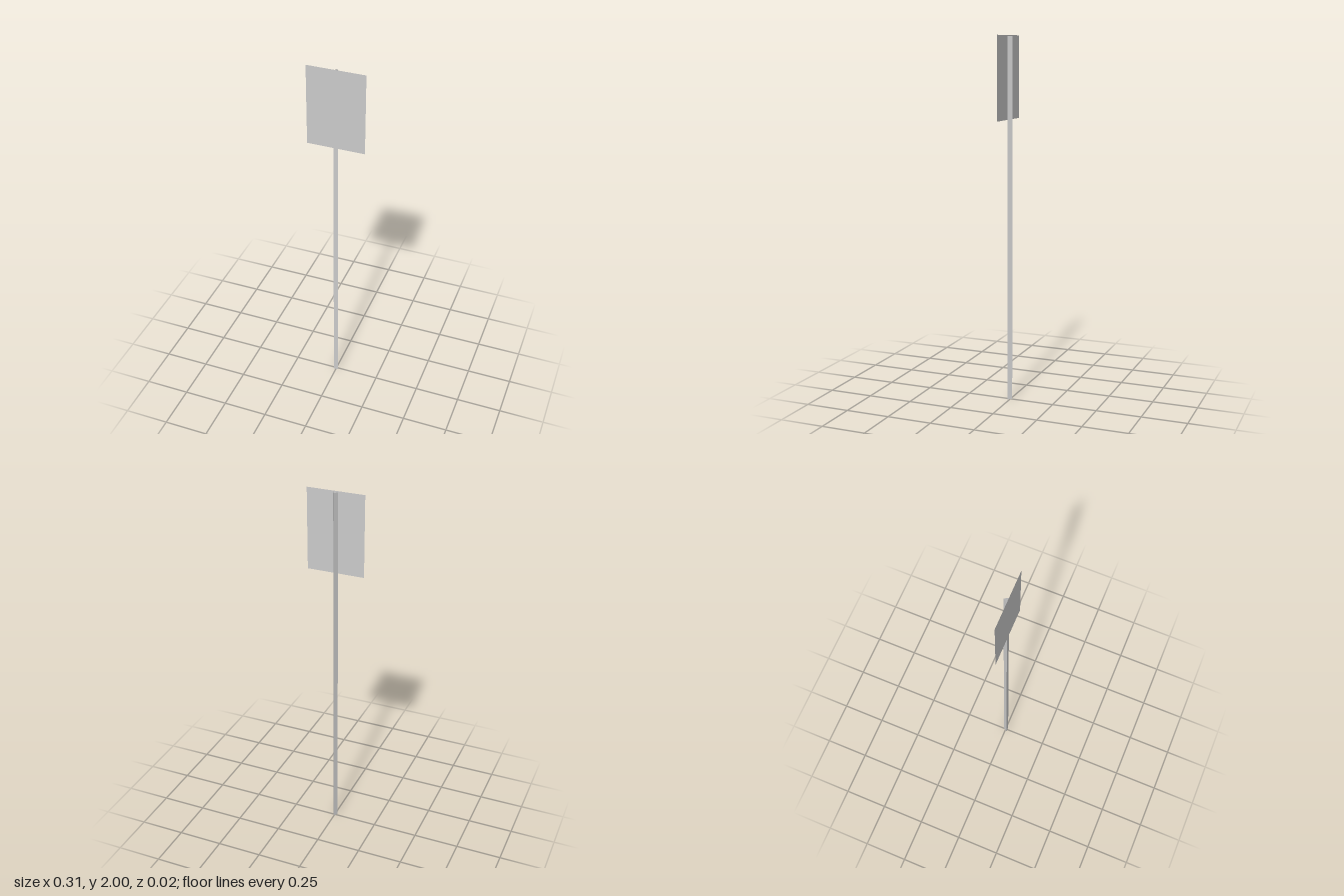
import * as THREE from 'three';

export function createModel() {
  const group = new THREE.Group();
  const material = new THREE.MeshStandardMaterial({
    color: 0xcccccc, flatShading: true, side: THREE.DoubleSide,
  });

  // Slim three-sided post, open at both ends, with its flat face to the front
  const radius = 0.015, postHeight = 1.995;
  const postGeometry = new THREE.CylinderGeometry(radius, radius, postHeight, 3, 1, true);
  postGeometry.rotateY(Math.PI);
  const post = new THREE.Mesh(postGeometry, material);
  post.name = 'post';
  post.position.set(0, postHeight / 2, radius / 4);
  group.add(post);

  // Thin sign plate fixed to the front of the post
  const plateHeight = 0.444;
  const plate = new THREE.Mesh(new THREE.PlaneGeometry(0.314, plateHeight), material);
  plate.name = 'signPlate';
  plate.position.set(0, 2 - plateHeight / 2, radius * 0.75 + 0.0005);
  group.add(plate);

  return group;
}
